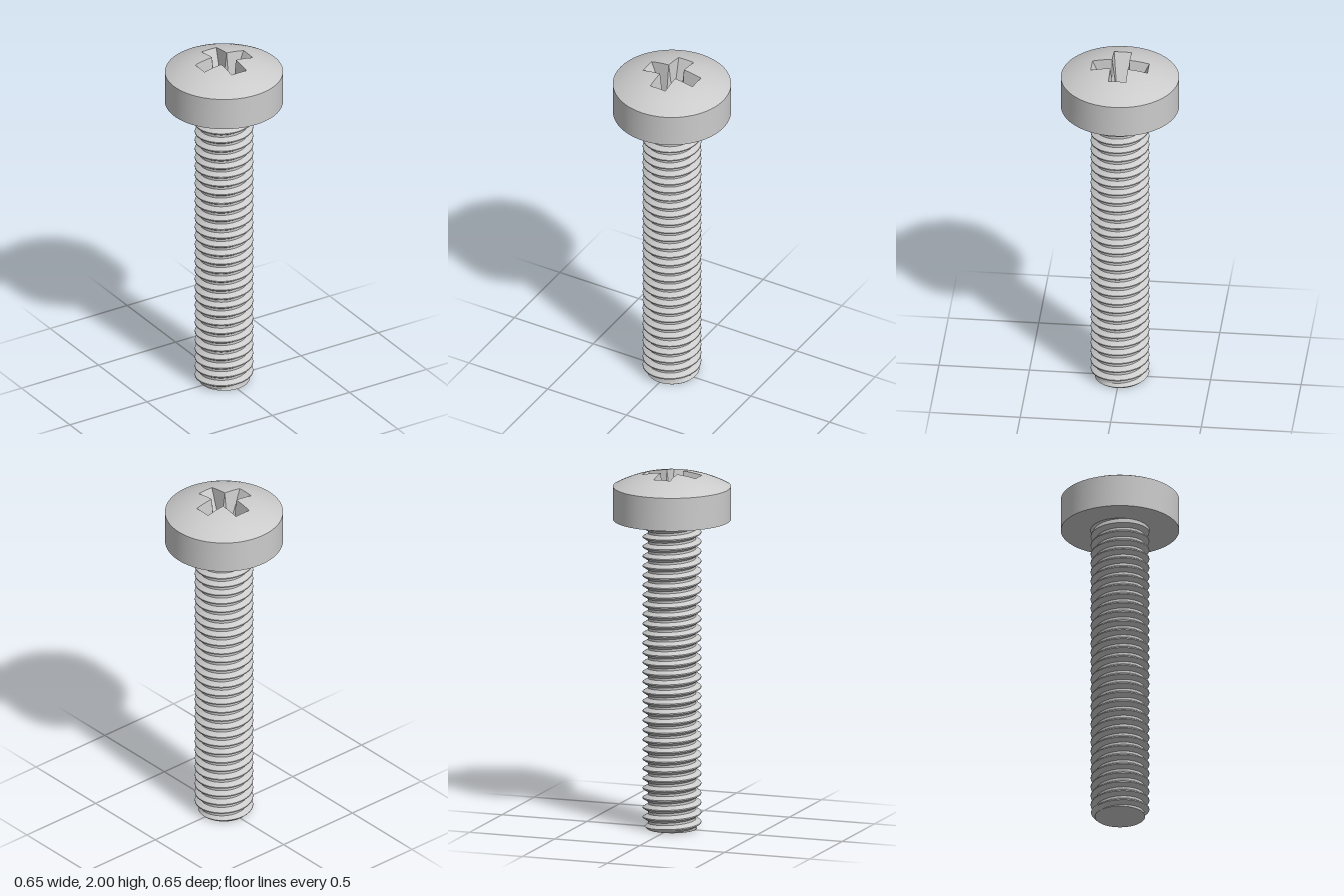
import * as THREE from 'three';
import { toCreasedNormals } from 'three/addons/utils/BufferGeometryUtils.js';

const HEAD_R = 0.325, HEAD_Y = 1.735, RIM_Y = 1.92, PEAK = 2.003;
const SAG = PEAK - RIM_Y;
const DOME_R = (HEAD_R ** 2 + SAG ** 2) / (2 * SAG);
const FLOOR_Y = 1.83, TIP_R = 0.053, TIP_DEPTH = 0.028;
const PITCH = HEAD_Y / 32, CREST = 0.161, ROOT = 0.133, END_R = 0.138;

const material = new THREE.MeshStandardMaterial({ color: 0xcccccc });

function addMesh(parent, name, geometry, mat = material) {
  const mesh = new THREE.Mesh(geometry, mat);
  mesh.name = name;
  parent.add(mesh);
  return mesh;
}

// Skin a list of equally long point rows; edges sharper than the crease stay hard
function loft(rows, crease) {
  const n = rows[0].length;
  const position = rows.flat().flatMap((p) => [p.x, p.y, p.z]);
  const index = [];
  for (let i = 0; i < rows.length - 1; i++) {
    for (let j = 0; j < n - 1; j++) {
      const a = i * n + j, c = a + n;
      index.push(a, c, a + 1, a + 1, c, c + 1);
    }
  }
  const g = new THREE.BufferGeometry();
  g.setAttribute('position', new THREE.Float32BufferAttribute(position, 3));
  g.setIndex(index);
  // Enlarged while creasing so that small neighbouring points stay distinct
  g.scale(100, 100, 100);
  const creased = toCreasedNormals(g, crease);
  creased.scale(0.01, 0.01, 0.01);
  return creased;
}

const domeY = (r) => PEAK - DOME_R + Math.sqrt(DOME_R ** 2 - r ** 2);

// Four-armed cross outline, counter-clockwise from above
function crossOutline(inner, outer, half) {
  const points = [];
  for (let k = 0; k < 4; k++) {
    for (const [x, y] of [[inner, -half], [outer, -half], [outer, half], [inner, half]]) {
      points.push(new THREE.Vector2(x, y).rotateAround(new THREE.Vector2(), k * Math.PI / 2));
    }
  }
  return points;
}

// Split every edge and return a closed row of 3D points
function subdivide(outline, n, heightAt) {
  const row = [];
  outline.forEach((p, i) => {
    const q = outline[(i + 1) % outline.length];
    for (let s = 0; s < n; s++) {
      const v = p.clone().lerp(q, s / n);
      row.push(new THREE.Vector3(v.x, heightAt(v.length()), -v.y));
    }
  });
  row.push(row[0].clone());
  return row;
}

function buildHead() {
  const head = new THREE.Group();
  head.name = 'head';
  const mouth = subdivide(crossOutline(0.048, 0.157, 0.048), 8, domeY);
  const floorOutline = crossOutline(0.05, 0.082, 0.029);
  const floorRow = subdivide(floorOutline, 8, () => FLOOR_Y);

  // Domed top around the recess, then side wall and underside
  const rows = [];
  const steps = 8;
  for (let i = 0; i <= steps; i++) {
    rows.push(mouth.map((p) => {
      const r0 = Math.hypot(p.x, p.z);
      const r = THREE.MathUtils.lerp(r0, HEAD_R, i / steps);
      return new THREE.Vector3(p.x / r0 * r, domeY(r), p.z / r0 * r);
    }));
  }
  const rim = rows[steps];
  rows.push(rim.map((p) => new THREE.Vector3(p.x, HEAD_Y, p.z)));
  rows.push(rim.map((p) => new THREE.Vector3(p.x * 0.4, HEAD_Y, p.z * 0.4)));
  addMesh(head, 'headShell', loft(rows, 0.5));

  // Tapered recess walls, flat floor and conical tip
  addMesh(head, 'recessWalls', loft([floorRow, mouth], 0.2));
  const floor = new THREE.Shape(floorOutline);
  floor.holes.push(new THREE.Path().absarc(0, 0, TIP_R, 0, Math.PI * 2, true));
  addMesh(head, 'recessFloor', new THREE.ShapeGeometry(floor, 24).rotateX(-Math.PI / 2)
    .translate(0, FLOOR_Y, 0));
  const inside = material.clone();
  inside.side = THREE.DoubleSide;
  addMesh(head, 'recessTip', new THREE.CylinderGeometry(TIP_R, 0, TIP_DEPTH, 48, 1, true)
    .translate(0, FLOOR_Y - TIP_DEPTH / 2, 0), inside);
  return head;
}

function buildShank() {
  const shank = new THREE.Group();
  shank.name = 'shank';
  // Thread profile over one pitch, top down: [offset in pitches, radius]
  const profile = [[0.94, CREST], [0.62, ROOT], [0.38, ROOT], [0.06, CREST]];
  const segments = 72;
  const rows = [];
  for (let turn = 33; turn >= -2; turn--) {
    for (const [offset, radius] of profile) {
      const row = [];
      for (let j = 0; j <= segments; j++) {
        const t = j / segments;
        const y = THREE.MathUtils.clamp((turn + offset + t) * PITCH + 0.006, 0, HEAD_Y);
        // Chamfer at the free end, fillet under the head
        const r = Math.max(Math.min(radius, END_R + y), 0.162 - (HEAD_Y - y) * 0.9);
        const a = t * Math.PI * 2;
        row.push(new THREE.Vector3(Math.cos(a) * r, y, -Math.sin(a) * r));
      }
      rows.push(row);
    }
  }
  addMesh(shank, 'thread', loft(rows, 0.5));
  addMesh(shank, 'endFace', new THREE.CircleGeometry(END_R, 72).rotateX(Math.PI / 2));
  return shank;
}

export function createModel() {
  const screw = new THREE.Group();
  screw.name = 'screw';
  screw.add(buildHead(), buildShank());
  return screw;
}
